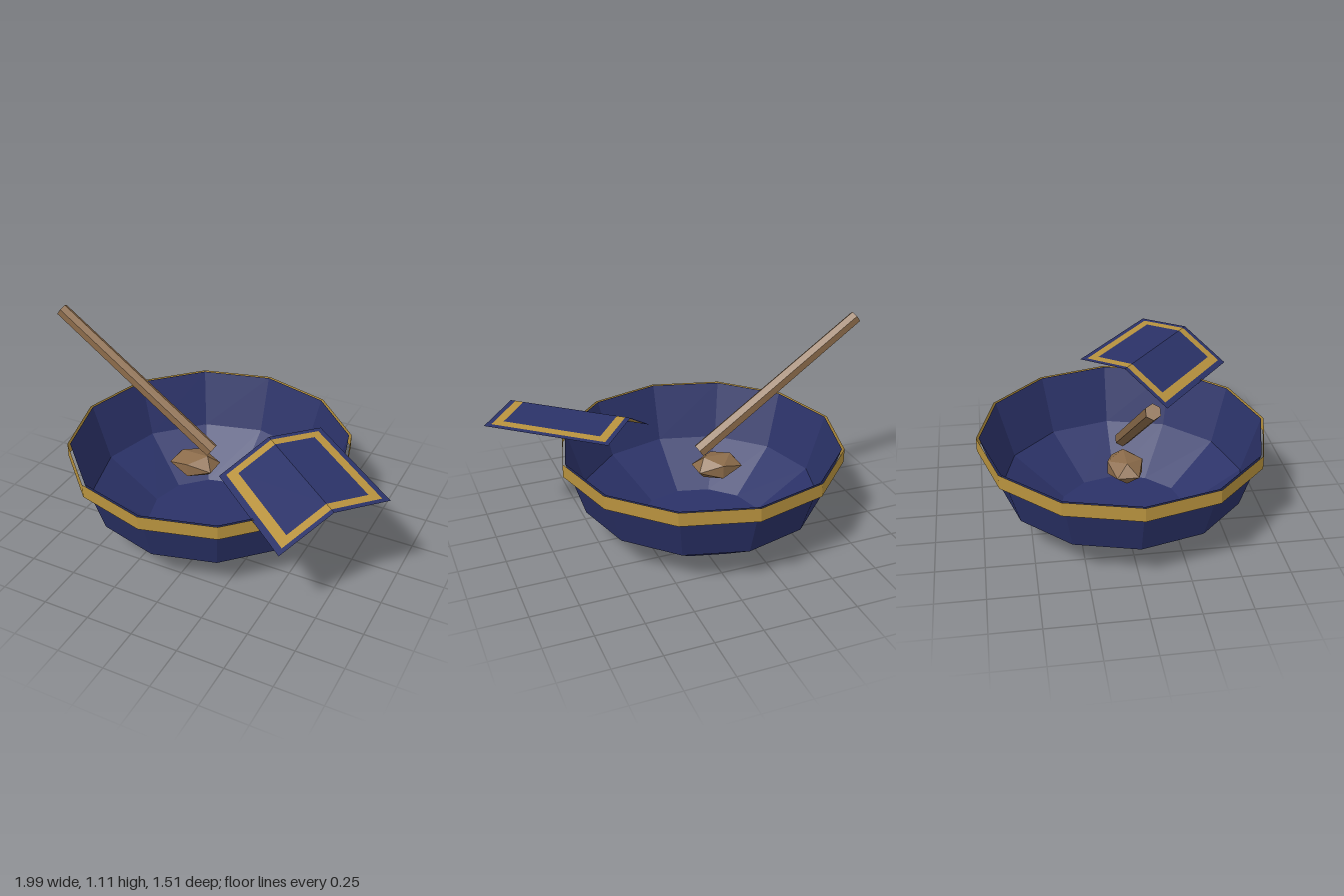
import * as THREE from 'three';

const mat = (name, color) => {
  const m = new THREE.MeshStandardMaterial({ color, side: THREE.DoubleSide, flatShading: true });
  m.name = name;
  return m;
};

export function createModel() {
  const blue = mat('navy blue', 0x2b3268);
  const gold = mat('gold', 0xb8923e);
  const wood = mat('wood', 0x8b6b4a);

  const model = new THREE.Group();
  const add = (name, geometry, material, parent = model) => {
    const mesh = new THREE.Mesh(geometry, material);
    mesh.name = name;
    parent.add(mesh);
    return mesh;
  };

  // Faceted thin-walled bowl with a loose gold band round its lip
  const bowlX = -0.085, sides = 12;
  const profile = [[0, 0], [0.35, 0], [0.645, 0.2], [0.742, 0.508]];
  const bowl = add('bowl', new THREE.LatheGeometry(
    profile.map(([r, y]) => new THREE.Vector2(r, y)), sides), blue);
  bowl.position.x = bowlX;
  const rim = add('rim', new THREE.CylinderGeometry(0.756, 0.756, 0.074, sides, 1, true), gold);
  rim.position.set(bowlX, 0.472, 0);

  // Spoon: a slanted hexagonal handle above a chunky low-poly head
  const spoon = new THREE.Group();
  spoon.name = 'spoon';
  model.add(spoon);
  const low = new THREE.Vector3(-0.077, 0.44, 0), high = new THREE.Vector3(-0.974, 1.077, 0);
  const axis = high.clone().sub(low);
  const handleGeo = new THREE.CylinderGeometry(0.036, 0.04, axis.length(), 6);
  handleGeo.rotateY(Math.PI / 2);
  const handle = add('spoonHandle', handleGeo, wood, spoon);
  handle.position.copy(low).lerp(high, 0.5);
  handle.quaternion.setFromUnitVectors(new THREE.Vector3(0, 1, 0), axis.normalize());
  const head = add('spoonHead', new THREE.IcosahedronGeometry(1, 0), wood, spoon);
  head.scale.set(0.145, 0.07, 0.107);
  head.position.set(-0.18, 0.335, 0);

  // Folded cloth over the lip: nested bands on a grid, creased along one line
  const cloth = new THREE.Group();
  cloth.name = 'cloth';
  model.add(cloth);
  const us = [0, 0.05, 0.13, 0.48, 0.87, 0.95, 1];
  const vs = [0, 0.04, 0.108, 0.892, 0.96, 1];
  const point = (u, v) => [
    0.105 + 0.368 * u + 0.527 * v,
    u < 0.48 ? 0.503 + 0.167 * u / 0.48 : 0.67 - 0.016 * (u - 0.48) / 0.52,
    0.273 - 0.43 * u + 0.44 * v,
  ];
  const parts = { clothHem: [], clothBorder: [], clothCentre: [] };
  for (let i = 0; i < us.length - 1; i++) {
    for (let j = 0; j < vs.length - 1; j++) {
      const ring = Math.min(i, us.length - 2 - i, j, vs.length - 2 - j, 2);
      const a = point(us[i], vs[j]), b = point(us[i], vs[j + 1]);
      const c = point(us[i + 1], vs[j + 1]), d = point(us[i + 1], vs[j]);
      Object.values(parts)[ring].push(...a, ...b, ...c, ...a, ...c, ...d);
    }
  }
  for (const [name, positions] of Object.entries(parts)) {
    const g = new THREE.BufferGeometry();
    g.setAttribute('position', new THREE.Float32BufferAttribute(positions, 3));
    g.computeVertexNormals();
    add(name, g, name === 'clothBorder' ? gold : blue, cloth);
  }

  return model;
}
